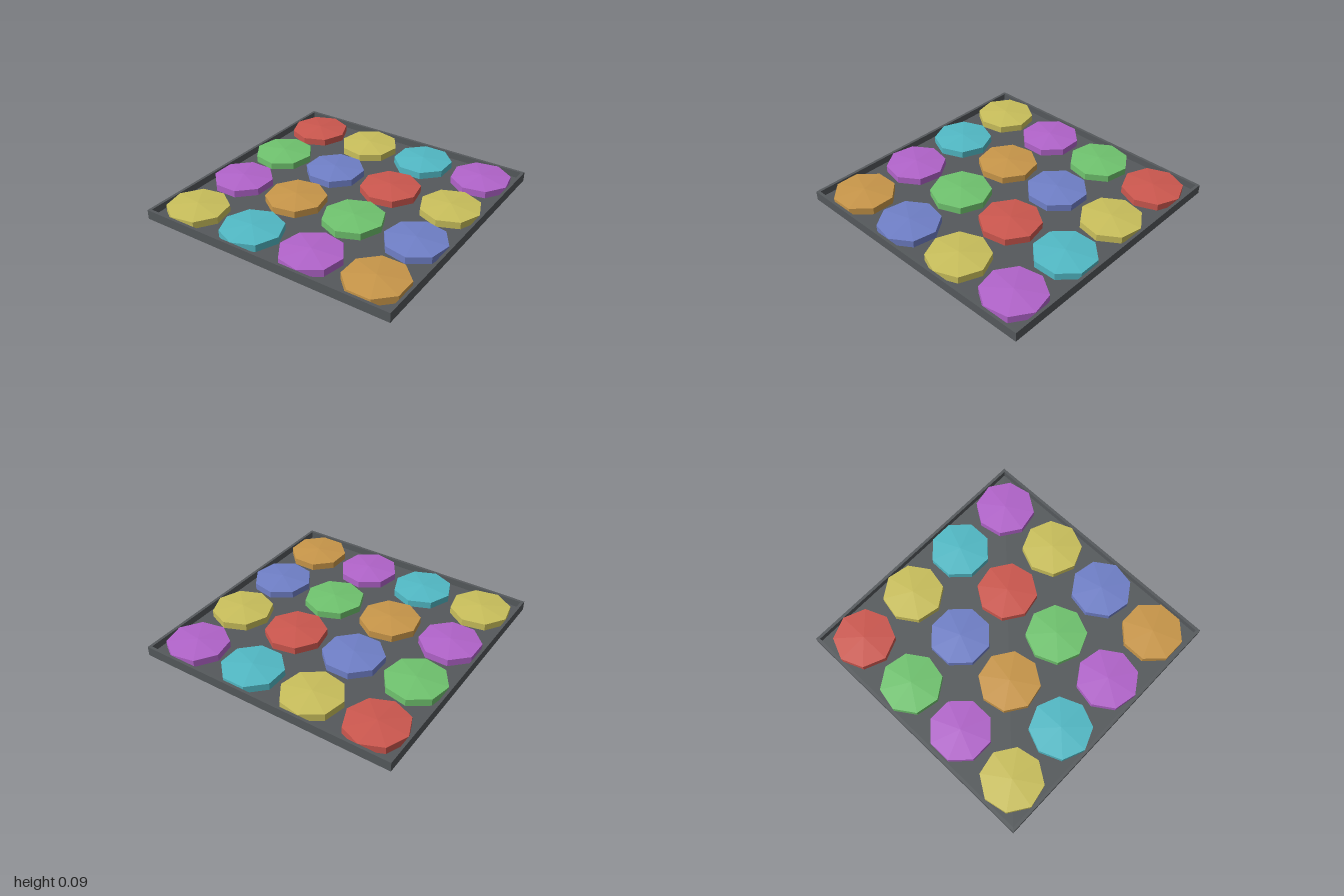
import * as THREE from 'three';

const paint = (name, color) => {
  const m = new THREE.MeshStandardMaterial({ color });
  m.name = name;
  m.flatShading = true;
  return m;
};

export function createModel() {
  const model = new THREE.Group();
  model.name = 'gemTray';

  const charcoal = paint('charcoal', 0x55595c);
  const colours = {
    R: paint('red', 0xcd584f), Y: paint('yellow', 0xcac05c),
    C: paint('cyan', 0x52bac6), M: paint('magenta', 0xb264cb),
    G: paint('green', 0x70c46f), B: paint('blue', 0x7080c8),
    O: paint('orange', 0xc9974a),
  };

  const FLOOR = 0.02, RIM_TOP = 0.073, RIM = 0.022;

  // tray floor
  const floor = new THREE.Mesh(new THREE.BoxGeometry(2, FLOOR, 2), charcoal);
  floor.name = 'trayFloor';
  floor.position.y = FLOOR / 2;
  model.add(floor);

  // raised rim: a square frame standing on the floor
  const frame = new THREE.Shape([[-1, -1], [1, -1], [1, 1], [-1, 1]].map(([x, y]) => new THREE.Vector2(x, y)));
  const k = 1 - RIM;
  frame.holes.push(new THREE.Path([[-k, -k], [-k, k], [k, k], [k, -k]].map(([x, y]) => new THREE.Vector2(x, y))));
  const rimGeo = new THREE.ExtrudeGeometry(frame, { depth: RIM_TOP - FLOOR, bevelEnabled: false });
  rimGeo.rotateX(-Math.PI / 2);
  const rim = new THREE.Mesh(rimGeo, charcoal);
  rim.name = 'trayRim';
  rim.position.y = FLOOR;
  model.add(rim);

  // eight-sided gem: straight girdle with a shallow pointed crown
  const gemGeo = new THREE.LatheGeometry([
    new THREE.Vector2(0.228, FLOOR),
    new THREE.Vector2(0.228, RIM_TOP),
    new THREE.Vector2(0, 0.093),
  ], 8);

  // four rows from back to front, each gem turned a sixteenth of a half turn further
  ['RYCM', 'GBRY', 'MOGB', 'YCMO'].forEach((row, r) => {
    [...row].forEach((key, c) => {
      const gem = new THREE.Mesh(gemGeo, colours[key]);
      gem.name = `gemRow${r + 1}Column${c + 1}`;
      gem.position.set(-0.75 + c * 0.5, 0, -0.75 + r * 0.5);
      gem.rotation.y = (r + c) * Math.PI / 16;
      model.add(gem);
    });
  });

  return model;
}
